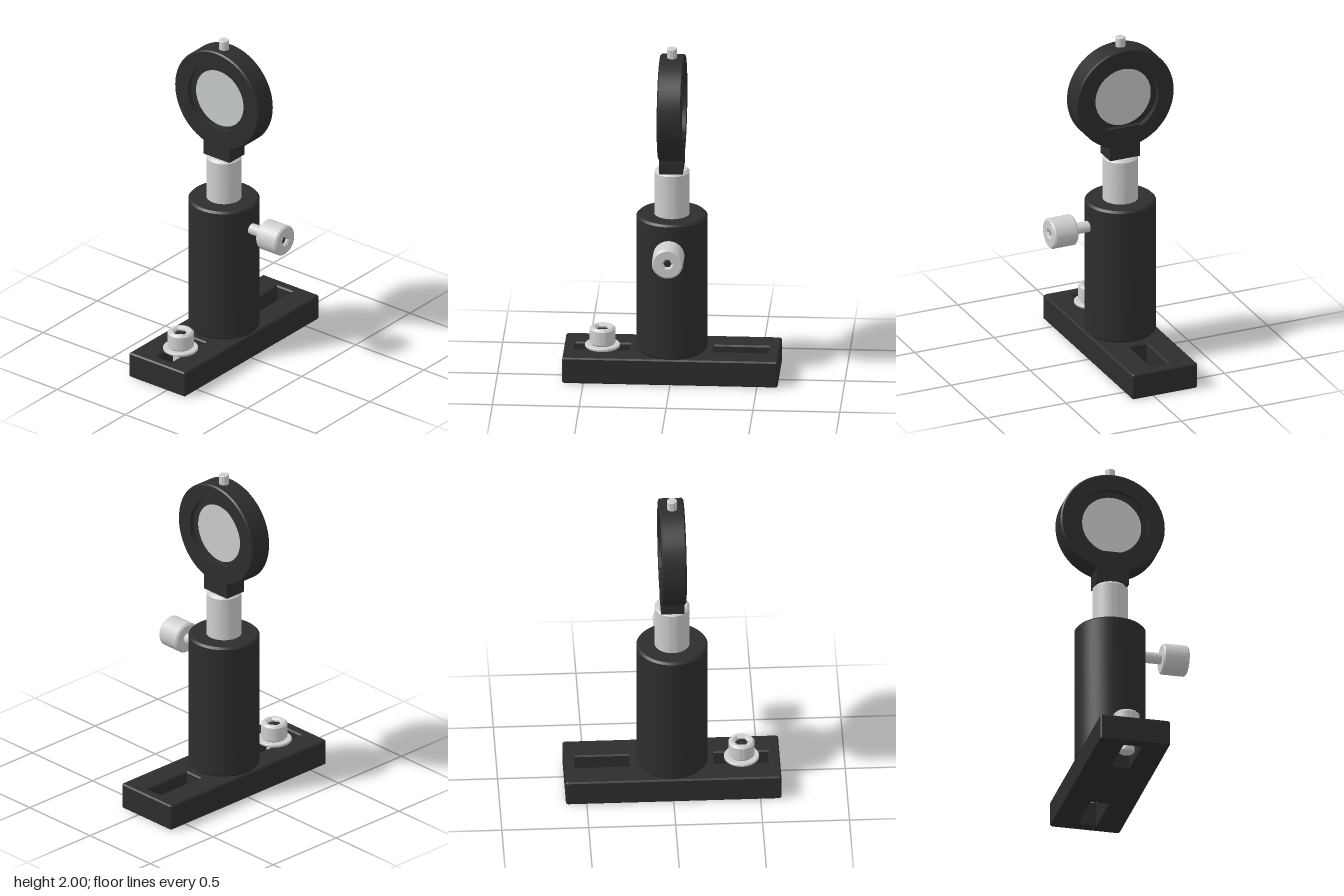
import * as THREE from 'three';
import { toCreasedNormals } from 'three/addons/utils/BufferGeometryUtils.js';

const AXIS_Z = -0.07; // all upright parts share this axis

export function createModel() {
  const black = new THREE.MeshStandardMaterial({ color: 0x2d2d2d });
  black.name = 'black anodised';
  const steel = new THREE.MeshStandardMaterial({ color: 0xcecece });
  steel.name = 'steel';
  const glass = new THREE.MeshStandardMaterial({ color: 0xc8cbcc });
  glass.name = 'lens grey';

  const model = new THREE.Group();
  model.name = 'lensMount';

  const add = (name, geometry, material, x = 0, y = 0, z = AXIS_Z, parent = model) => {
    const mesh = new THREE.Mesh(geometry, material);
    mesh.name = name;
    mesh.position.set(x, y, z);
    parent.add(mesh);
    return mesh;
  };

  // Turned part from [radius, height] pairs, with crisp edges
  const turned = (points, segments = 64) => toCreasedNormals(
    new THREE.LatheGeometry(points.map(([r, y]) => new THREE.Vector2(r, y)), segments), 0.5);

  // Solid chamfered rod between two heights
  const rod = (r, y0, y1, c) => turned([
    [0, y0], [r - c, y0], [r, y0 + c], [r, y1 - c], [r - c, y1], [0, y1]]);

  const polygon = (Type, points) => new Type(points.map(([x, y]) => new THREE.Vector2(x, y)));
  const hexagon = (r) => Array.from({ length: 6 }, (_, i) =>
    [r * Math.cos(i * Math.PI / 3), r * Math.sin(i * Math.PI / 3)]);

  // Cap with a hexagon socket, running from z = 0 to z = h
  const socketCap = (name, r, h, hexR, c) => {
    const group = new THREE.Group();
    group.name = name;
    const shape = new THREE.Shape().absarc(0, 0, r, 0, Math.PI * 2, false);
    shape.holes.push(polygon(THREE.Path, hexagon(hexR)));
    const cap = new THREE.ExtrudeGeometry(shape, {
      depth: h - 2 * c, curveSegments: 48, bevelSegments: 1,
      bevelSize: c, bevelThickness: c, bevelOffset: -c,
    });
    cap.translate(0, 0, c);
    add('cap', toCreasedNormals(cap, 0.5), steel, 0, 0, 0, group);
    const floor = new THREE.ExtrudeGeometry(polygon(THREE.Shape, hexagon(hexR + c)),
      { depth: h - c - 0.012, bevelEnabled: false });
    add('socketFloor', floor, black, 0, 0, 0.003, group);
    model.add(group);
    return group;
  };

  // Base plate with clipped corners and two through slots
  const w = 0.62, d = 0.206, k = 0.008;
  const plate = polygon(THREE.Shape, [
    [-w + k, -d], [w - k, -d], [w, -d + k], [w, d - k],
    [w - k, d], [-w + k, d], [-w, d - k], [-w, -d + k]]);
  for (const s of [-1, 1]) {
    const cx = s * 0.4, hx = 0.156, hz = 0.053;
    plate.holes.push(polygon(THREE.Path, [
      [cx - hx, -hz - 0.001], [cx - hx, hz], [cx + hx, hz], [cx + hx, -hz - 0.001]]));
  }
  const base = new THREE.ExtrudeGeometry(plate, {
    depth: 0.156 - 2 * k, bevelSegments: 1, bevelSize: k, bevelThickness: k, bevelOffset: -k,
  });
  base.translate(0, 0, k).rotateX(-Math.PI / 2);
  add('basePlate', base, black);

  // Post holder, post and top pin
  add('postHolder', rod(0.205, 0.156, 0.985, 0.012), black);
  add('post', rod(0.102, 0.9, 1.258, 0.014), steel);
  add('topPin', rod(0.029, 1.9, 2, 0.004), steel);

  // Lens ring with a recess on both faces, its axis along x
  const ring = turned([
    [0.21, -0.071], [0.3, -0.071], [0.308, -0.063], [0.308, 0.063], [0.3, 0.071],
    [0.21, 0.071], [0.21, 0.04], [0.175, 0.04], [0.175, -0.04], [0.21, -0.04], [0.21, -0.071]], 96);
  ring.rotateZ(-Math.PI / 2);
  add('lensRing', ring, black, 0, 1.635);
  const lens = new THREE.CylinderGeometry(0.177, 0.177, 0.076, 64);
  lens.rotateZ(-Math.PI / 2);
  add('lens', lens, glass, 0, 1.635);
  add('ringNeck', new THREE.BoxGeometry(0.136, 0.197, 0.19), black, 0, 1.3565);

  // Thumbscrew clamping the post from the front
  const knob = socketCap('thumbscrew', 0.09, 0.152, 0.024, 0.01);
  knob.position.set(0, 0.84, 0.23);
  const shank = new THREE.CylinderGeometry(0.033, 0.033, 0.14, 32);
  shank.rotateX(Math.PI / 2);
  add('thumbscrewShank', shank, steel, 0, 0.84, 0.17);

  // Cap bolt and washer over the right-hand slot
  const bolt = socketCap('boltHead', 0.076, 0.105, 0.04, 0.012);
  bolt.rotation.x = -Math.PI / 2;
  bolt.position.set(-0.4, 0.173, AXIS_Z);
  add('washer', rod(0.101, 0.156, 0.174, 0.004), steel, -0.4);
  add('boltShank', rod(0.045, 0.03, 0.165, 0.006), steel, -0.4);

  return model;
}
